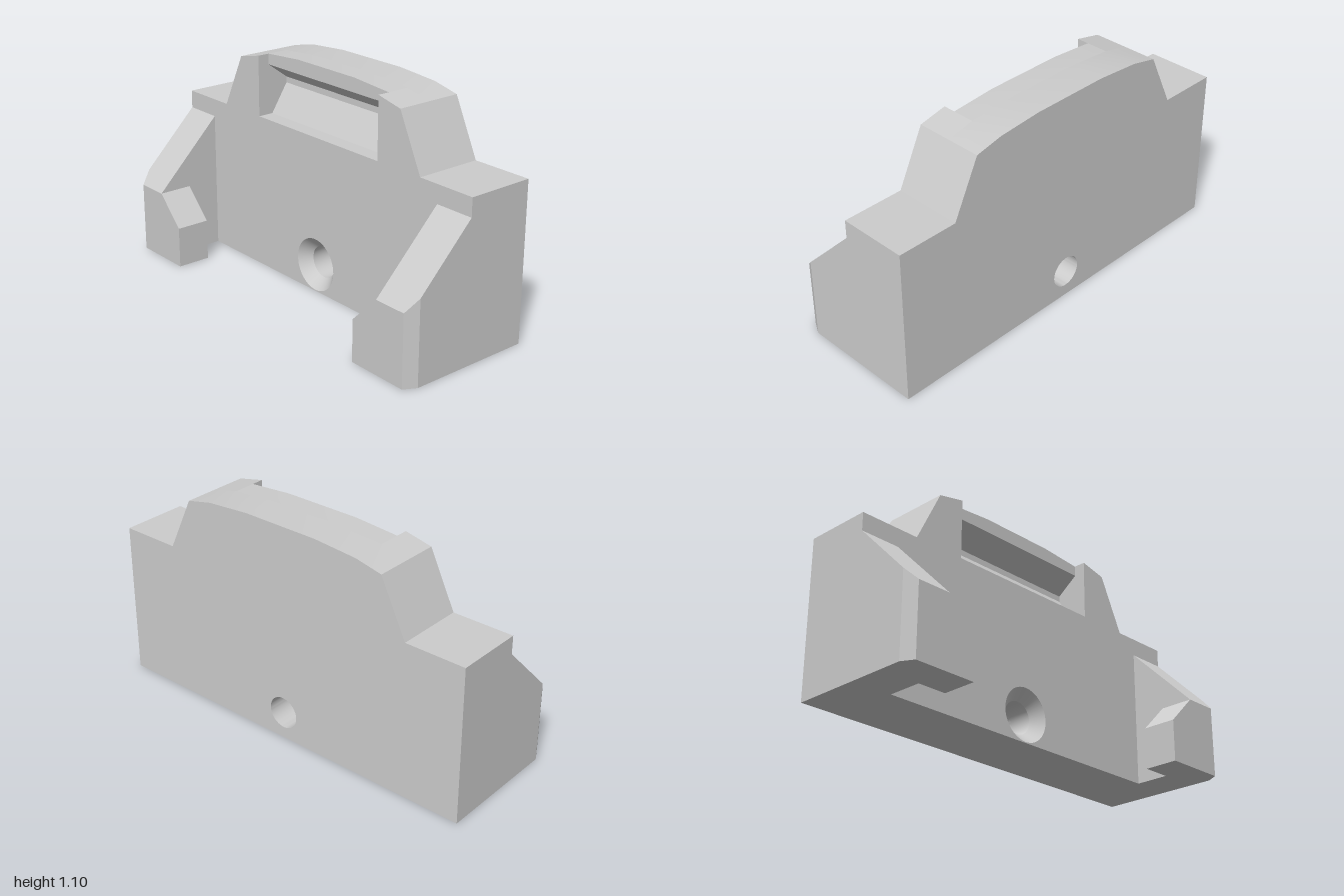
import * as THREE from 'three';
import { toCreasedNormals } from 'three/addons/utils/BufferGeometryUtils.js';

const HOLE_Y = 0.137, HOLE_R = 0.08, SINK_R = 0.132, SINK_DEPTH = 0.055;
const BACK = -0.34, MID = -0.17, FRONT = 0.34;
const NOTCH_X = 0.425, SHOULDER = 0.78;

const shapeOf = (pts) => new THREE.Shape(pts.map(([x, y]) => new THREE.Vector2(x, y)));

// Extrude a front outline from z0 to z1
function slab(shape, z0, z1) {
  const geo = new THREE.ExtrudeGeometry(shape, { depth: z1 - z0, bevelEnabled: false, curveSegments: 32 });
  return geo.translate(0, 0, z0);
}

// Move every vertex by a rule, then refresh the normals
function reshape(geo, rule) {
  const pos = geo.attributes.position;
  const v = new THREE.Vector3();
  for (let i = 0; i < pos.count; i++) {
    rule(v.fromBufferAttribute(pos, i));
    pos.setXYZ(i, v.x, v.y, v.z);
  }
  geo.computeVertexNormals();
  return geo;
}

function addHole(shape, r) {
  const path = new THREE.Path();
  path.absarc(0, HOLE_Y, r, 0, Math.PI * 2, true);
  shape.holes.push(path);
  return shape;
}

export function createModel() {
  const model = new THREE.Group();
  model.name = 'clipBracket';
  const grey = new THREE.MeshStandardMaterial({ color: 0xcccccc });
  grey.name = 'light grey';

  const add = (name, geo) => {
    const mesh = new THREE.Mesh(toCreasedNormals(geo, 0.4), grey);
    mesh.name = name;
    model.add(mesh);
    return mesh;
  };

  // Gently crowned top, right to left
  const crown = [[NOTCH_X, 1.083], [0.2, 1.1], [-0.2, 1.1], [-NOTCH_X, 1.083]];
  const rightSide = [[-1, 0], [1, 0], [1, SHOULDER], [0.694, SHOULDER], [0.563, 1.053]];
  const leftSide = [[-0.563, 1.053], [-0.694, SHOULDER], [-1, SHOULDER]];

  // Body: solid rear half, and front half notched at the top
  add('bodyRear', slab(addHole(shapeOf([...rightSide, ...crown, ...leftSide]), HOLE_R), BACK, MID));
  const notch = [crown[0], [NOTCH_X, SHOULDER], [-NOTCH_X, SHOULDER], crown[3]];
  add('bodyFront', slab(addHole(shapeOf([...rightSide, ...notch, ...leftSide]), SINK_R), MID, 0));

  // Overhang above the slot, with a slanted underside
  const hood = slab(shapeOf([[-NOTCH_X, 0.95], [NOTCH_X, 0.95], ...crown]), MID, -0.06);
  add('slotHood', reshape(hood, (v) => {
    if (v.y < 0.96 && v.z > -0.1) v.y = 1.03;
  }));

  // Sloping floor at the back of the slot
  const ramp = slab(shapeOf([[-NOTCH_X, SHOULDER], [NOTCH_X, SHOULDER], [NOTCH_X, 0.92], [-NOTCH_X, 0.92]]), MID, -0.08);
  add('slotRamp', reshape(ramp, (v) => {
    if (v.y > 0.9) v.z = MID;
  }));

  // Countersunk lining of the screw hole
  const lining = new THREE.LatheGeometry([
    new THREE.Vector2(SINK_R, 0),
    new THREE.Vector2(HOLE_R, -SINK_DEPTH),
    new THREE.Vector2(HOLE_R, MID),
  ], 48);
  add('screwHole', lining.rotateX(Math.PI / 2)).position.y = HOLE_Y;

  // Side arms with a 45 degree top and chamfered outer corner, and inward lips
  for (const s of [1, -1]) {
    const side = s > 0 ? 'left' : 'right';
    const plan = shapeOf([[0.8, 0], [1, 0], [1, -0.28], [0.967, -FRONT], [0.8, -FRONT]].map(([x, y]) => [s * x, y]));
    const arm = new THREE.ExtrudeGeometry(plan, { depth: 0.69, bevelEnabled: false });
    arm.rotateX(-Math.PI / 2);
    add(side + 'Arm', reshape(arm, (v) => {
      if (v.y > 0.1) v.y = 0.69 - v.z;
    }));
    const lip = [[0.655, 0], [0.8, 0], [0.8, 0.35], [0.655, 0.205]].map(([x, y]) => [s * x, y]);
    add(side + 'Lip', slab(shapeOf(lip), 0.17, FRONT));
  }
  return model;
}
